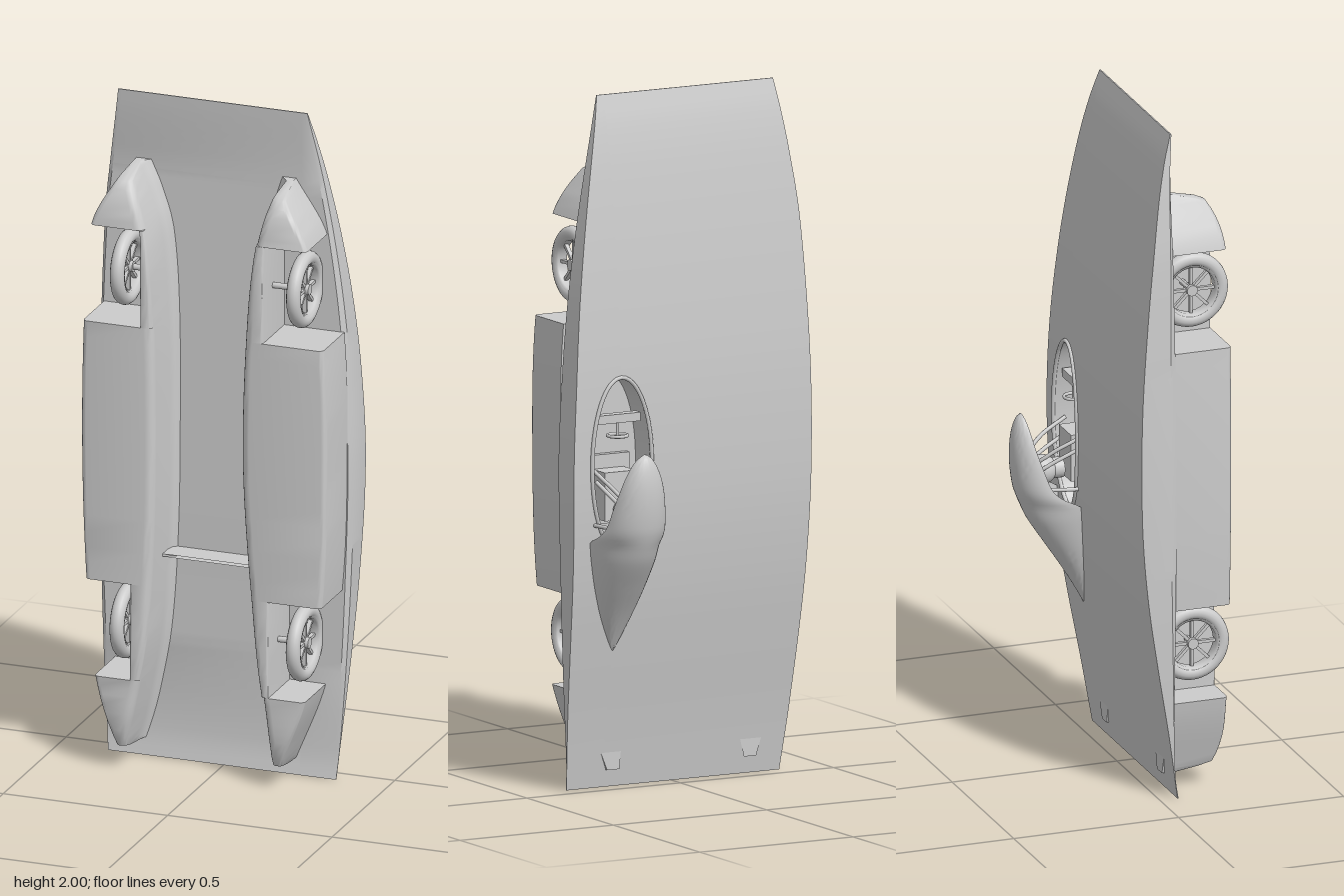
import * as THREE from 'three';
import { toCreasedNormals } from 'three/addons/utils/BufferGeometryUtils.js';

const mat = new THREE.MeshStandardMaterial({ color: 0xcccccc, side: THREE.DoubleSide });

function add(parent, name, geo, x = 0, y = 0, z = 0) {
  const m = new THREE.Mesh(geo, mat);
  m.name = name;
  m.position.set(x, y, z);
  parent.add(m);
  return m;
}

// smooth curve through [y, value] pairs
function curve(t) {
  const slope = i => {
    const a = t[Math.max(i - 1, 0)], b = t[Math.min(i + 1, t.length - 1)];
    return (b[1] - a[1]) / (b[0] - a[0]);
  };
  return y => {
    let i = 0;
    while (i < t.length - 2 && y > t[i + 1][0]) i++;
    const h = t[i + 1][0] - t[i][0];
    const u = THREE.MathUtils.clamp((y - t[i][0]) / h, 0, 1), u2 = u * u, u3 = u2 * u;
    return t[i][1] * (2 * u3 - 3 * u2 + 1) + t[i + 1][1] * (3 * u2 - 2 * u3)
      + h * (slope(i) * (u3 - 2 * u2 + u) + slope(i + 1) * (u3 - u2));
  };
}

// skin over cross-sections { y, pts: [[x, z], ...] } stacked along y
function loft(sections, closed = true, crease = 0.6) {
  const pos = [];
  const n = sections[0].pts.length;
  const mid = sections[sections.length >> 1].pts;
  const area = mid.reduce((s, p, i) => {
    const q = mid[(i + 1) % n];
    return s + p[0] * q[1] - q[0] * p[1];
  }, 0);
  const rings = sections.map(s => {
    const r = s.pts.map(p => [p[0], s.y, p[1]]);
    return area > 0 ? r.reverse() : r;
  });
  const tri = (a, b, c) => pos.push(...a, ...b, ...c);
  for (let j = 0; j < rings.length - 1; j++) {
    for (let i = 0; i < (closed ? n : n - 1); i++) {
      const k = (i + 1) % n, A = rings[j], B = rings[j + 1];
      tri(A[i], A[k], B[k]);
      tri(A[i], B[k], B[i]);
    }
  }
  if (closed) {
    const A = rings[0], B = rings[rings.length - 1];
    for (let i = 1; i < n - 1; i++) {
      tri(A[0], A[i + 1], A[i]);
      tri(B[0], B[i], B[i + 1]);
    }
  }
  const g = new THREE.BufferGeometry();
  g.setAttribute('position', new THREE.Float32BufferAttribute(pos, 3));
  return toCreasedNormals(g, crease);
}

const range = (a, b, n) => Array.from({ length: n + 1 }, (_, i) => a + (b - a) * i / n);

// body outline, deck and underside
const leftEdge = curve([[0, -0.352], [0.2, -0.368], [0.6, -0.384], [1.1, -0.389], [1.6, -0.373], [1.8, -0.352], [2, -0.325]]);
const rightEdge = curve([[0, 0.342], [0.3, 0.362], [0.6, 0.376], [0.95, 0.385], [1.2, 0.374], [1.4, 0.357], [1.6, 0.33], [1.8, 0.294], [2, 0.25]]);
const deck = curve([[0, 0.052], [0.2, 0.02], [0.4, -0.015], [0.6, -0.046], [0.8, -0.065], [1, -0.07], [1.2, -0.066], [1.4, -0.052], [1.6, -0.032], [1.8, -0.005], [1.92, 0.018], [2, 0.04]]);
const under = curve([[0, 0.056], [0.06, 0.045], [0.2, 0.04], [1, 0.04], [1.8, 0.036], [2, 0.044]]);

// cockpit opening
const CX = 0.23;
const holeHalf = y => 0.095 * Math.sqrt(Math.max(0, 1 - ((y - 0.95) / 0.25) ** 2));

function bodyHalf(edge, side) {
  const ys = [...range(0, 0.7, 24), ...range(0.705, 1.195, 36), ...range(1.2, 2, 28)];
  return loft(ys.map(y => {
    const e = edge(y), t = deck(y), u = under(y);
    const h = CX + side * holeHalf(y), floor = Math.max(t, 0.02);
    return { y, pts: [[CX, floor], [h, floor], [h, t], [e, t], [e, t + (u - t) * 0.82], [e - side * 0.012, u], [CX, u]] };
  }));
}

// wheel fairing, with the two wells cut out of its outer side
const depth = curve([[0.05, 0.085], [0.07, 0.188], [0.28, 0.212], [0.6, 0.211], [1.35, 0.21], [1.6, 0.207], [1.77, 0.165], [1.797, 0.07]]);
function fairing(outer, inner, wallRear, wallFront) {
  const fo = curve(outer), fi = curve(inner), s = Math.sign(outer[0][1]);
  const spans = [[0.05, 0.07, 2], [0.07, 0.28, 8], [0.28, 0.57, 8, wallRear], [0.57, 1.35, 16], [1.35, 1.64, 8, wallFront], [1.64, 1.77, 6], [1.77, 1.797, 3]];
  const sections = [];
  for (const [a, b, n, wall] of spans) {
    for (const y of range(a, b, n)) {
      const i = fi(y), o = wall === undefined ? fo(y) : s * Math.max(Math.abs(wall), Math.abs(i) + 0.012);
      const d = depth(y), w = Math.abs(o - i), r = Math.min(0.026, w * 0.45, (d - 0.04) * 0.5);
      const pts = [[i - s * 0.022, 0.036], [i - s * 0.006, 0.05], [i, Math.min(0.075, d - r)]];
      for (const t of range(0, Math.PI / 2, 5)) pts.push([i + s * r * (1 - Math.cos(t)), d - r + r * Math.sin(t)]);
      const ro = wall === undefined ? r * 0.6 : r * 0.3;
      for (const t of range(Math.PI / 2, 0, 5)) pts.push([o - s * ro * (1 - Math.cos(t)), d - ro + ro * Math.sin(t)]);
      pts.push([o, 0.036]);
      sections.push({ y, pts });
    }
  }
  return loft(sections, true, 0.7);
}

// spoked wheel turning about x
function wheel(x, y, z, wallX) {
  const g = new THREE.Group();
  g.name = 'wheel';
  g.position.set(x, y, z);
  add(g, 'tyre', new THREE.TorusGeometry(0.091, 0.021, 14, 48)).rotation.y = Math.PI / 2;
  const rim = new THREE.LatheGeometry([[0.078, -0.018], [0.07, -0.014], [0.07, 0.014], [0.078, 0.018]].map(p => new THREE.Vector2(...p)), 40);
  add(g, 'rim', rim).rotation.z = Math.PI / 2;
  add(g, 'hub', new THREE.CylinderGeometry(0.016, 0.016, 0.032, 20)).rotation.z = Math.PI / 2;
  for (let i = 0; i < 8; i++) {
    const a = i * Math.PI / 4;
    add(g, 'spoke', new THREE.BoxGeometry(0.012, 0.062, 0.009), 0, Math.cos(a) * 0.042, Math.sin(a) * 0.042).rotation.x = a;
  }
  const len = wallX - x;
  add(g, 'axle', new THREE.CylinderGeometry(0.009, 0.009, Math.abs(len), 12), len / 2).rotation.z = Math.PI / 2;
  return g;
}

// headrest shell: a cone behind the driver ending in a visor over the head
function canopy() {
  const rows = [[0.405, -0.012, -0.016, 0.004], [0.45, -0.02, -0.04, 0.025], [0.52, -0.03, -0.082, 0.053], [0.6, -0.042, -0.135, 0.076],
    [0.68, -0.052, -0.187, 0.092], [0.73, -0.058, -0.21, 0.098], [0.75, -0.1, -0.218, 0.096], [0.78, -0.138, -0.227, 0.09],
    [0.84, -0.163, -0.235, 0.08], [0.9, -0.182, -0.236, 0.066], [0.95, -0.193, -0.23, 0.047], [0.985, -0.2, -0.219, 0.024], [1, -0.205, -0.207, 0.003]];
  const [base, peak, half] = [1, 2, 3].map(k => curve(rows.map(r => [r[0], r[k]])));
  return loft(range(0.405, 1, 48).map(y => ({
    y,
    pts: range(0, Math.PI, 24).map(t => [CX + half(y) * Math.cos(t), base(y) + (peak(y) - base(y)) * Math.sin(t)]),
  })), false, 1);
}

const tube = (pts, r) => new THREE.TubeGeometry(new THREE.CatmullRomCurve3(pts.map(p => new THREE.Vector3(...p))), 32, r, 8);

export function createModel() {
  const car = new THREE.Group();
  car.name = 'solarCar';

  add(car, 'bodyRight', bodyHalf(leftEdge, -1));
  add(car, 'bodyLeft', bodyHalf(rightEdge, 1));

  // fairings and wheels
  add(car, 'fairingRight', fairing(
    [[0.05, -0.268], [0.28, -0.335], [0.57, -0.362], [0.95, -0.375], [1.35, -0.37], [1.64, -0.35], [1.8, -0.27]],
    [[0.05, -0.25], [0.2, -0.215], [0.4, -0.18], [0.7, -0.16], [1, -0.155], [1.35, -0.16], [1.6, -0.18], [1.72, -0.215], [1.8, -0.25]],
    -0.225, -0.195));
  add(car, 'fairingLeft', fairing(
    [[0.05, 0.218], [0.28, 0.305], [0.57, 0.355], [0.95, 0.37], [1.35, 0.36], [1.64, 0.308], [1.8, 0.212]],
    [[0.05, 0.2], [0.2, 0.185], [0.4, 0.155], [0.7, 0.125], [1, 0.11], [1.35, 0.12], [1.6, 0.145], [1.72, 0.17], [1.8, 0.195]],
    0.195, 0.178));
  for (const [y, z, wr, wl] of [[1.5, 0.125, -0.195, 0.178], [0.432, 0.128, -0.225, 0.195]]) {
    car.add(wheel(-0.262, y, z, wr), wheel(0.274, y, z, wl));
  }

  // thin web between the fairings
  const web = [[-0.165, 0.115], [-0.03, 0.055], [0.08, 0.05], [0.12, 0.115], [0.12, 0.035], [-0.165, 0.035]];
  add(car, 'underbodyWeb', loft([0.63, 0.638].map(y => ({ y, pts: web }))));

  // canopy and cockpit rim
  add(car, 'headrestShell', canopy());
  const rim = range(0, Math.PI * 2, 40).slice(0, -1).map(t => {
    const y = 0.95 + 0.25 * Math.cos(t);
    return new THREE.Vector3(CX + 0.097 * Math.sin(t), y, deck(y) - 0.002);
  });
  add(car, 'cockpitRim', new THREE.TubeGeometry(new THREE.CatmullRomCurve3(rim, true), 80, 0.006, 8, true));

  // roll cage hoops
  for (const [w, y0, y1, top] of [[0.082, 0.94, 0.86, -0.185], [0.066, 0.9, 0.82, -0.2], [0.088, 0.78, 0.78, -0.2]]) {
    add(car, 'rollHoop', tube([[CX - w, y0, -0.04], [CX - w * 0.8, (y0 + y1) / 2, -0.12], [CX - w * 0.45, y1, top + 0.012], [CX, y1, top],
      [CX + w * 0.45, y1, top + 0.012], [CX + w * 0.8, (y0 + y1) / 2, -0.12], [CX + w, y0, -0.04]], 0.006));
  }

  // driver, seat and controls
  const driver = new THREE.Group();
  driver.name = 'driver';
  car.add(driver);
  add(driver, 'head', new THREE.SphereGeometry(0.043, 24, 16), 0.235, 0.82, -0.14);
  add(driver, 'neck', new THREE.CylinderGeometry(0.03, 0.03, 0.06, 20), 0.235, 0.82, -0.11).rotation.x = Math.PI / 2;
  add(driver, 'torso', new THREE.BoxGeometry(0.1, 0.14, 0.07), 0.235, 0.86, -0.035);
  add(car, 'seat', new THREE.BoxGeometry(0.13, 0.2, 0.02), CX, 0.87, 0.01);
  add(car, 'dashboard', new THREE.BoxGeometry(0.14, 0.025, 0.03), CX, 1.08, -0.04);
  add(car, 'steeringWheel', new THREE.TorusGeometry(0.028, 0.005, 8, 24), CX, 1.03, -0.045).rotation.x = Math.PI / 2;
  add(car, 'steeringColumn', new THREE.CylinderGeometry(0.005, 0.005, 0.06, 8), CX, 1.055, -0.045);

  return car;
}
